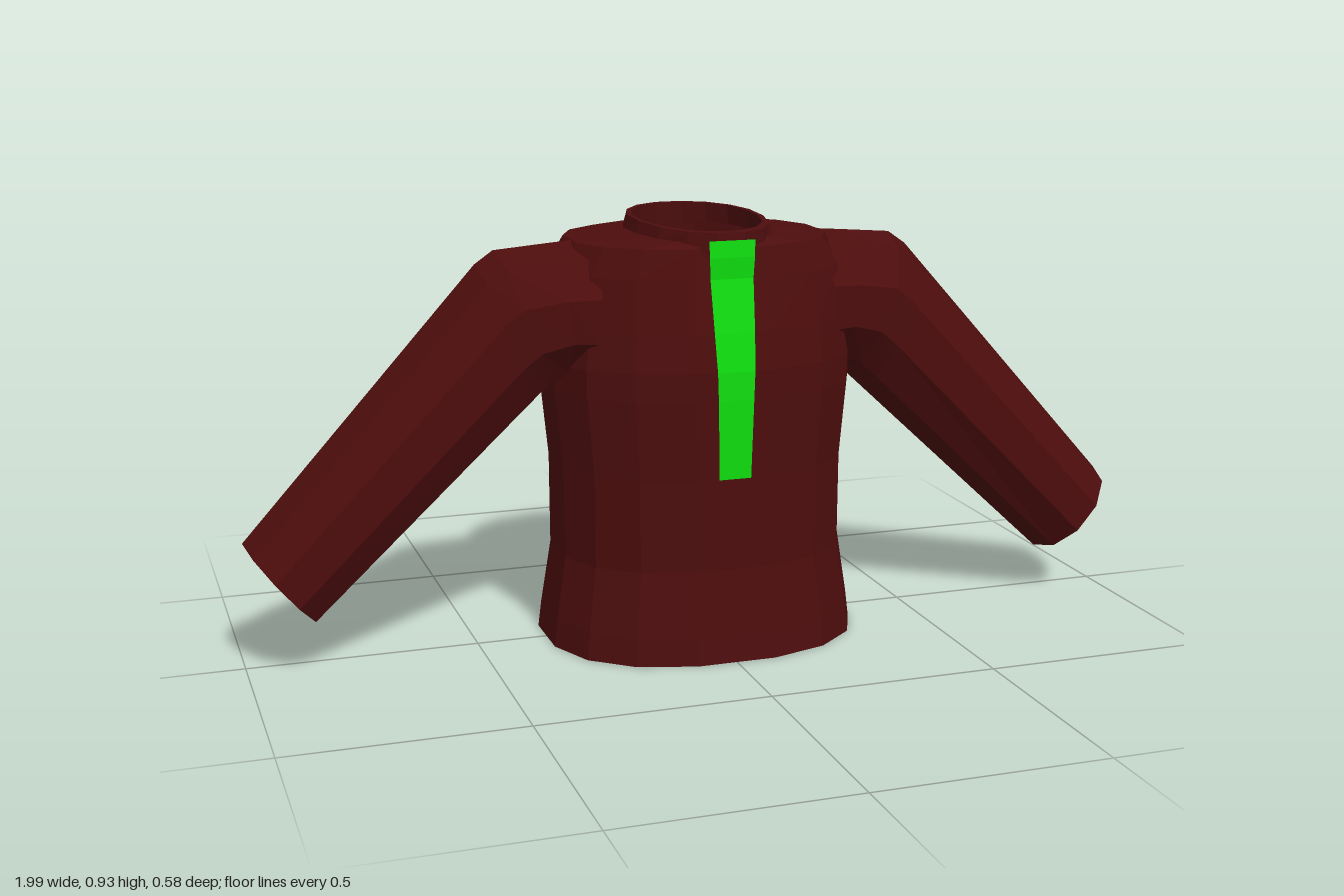
import * as THREE from 'three';

const knit = new THREE.MeshStandardMaterial({ color: 0x4d0d0d, side: THREE.DoubleSide });
knit.name = 'dark red knit';
const green = new THREE.MeshStandardMaterial({ color: 0x10de10, side: THREE.DoubleSide });
green.name = 'bright green';

// Faceted skin through rings of equal length; each ring is a list of [x, y, z]
function loft(rings, closed = true) {
  const n = rings[0].length, pos = [], idx = [];
  rings.forEach(r => r.forEach(p => pos.push(...p)));
  for (let i = 0; i < rings.length - 1; i++) {
    for (let j = 0; j < (closed ? n : n - 1); j++) {
      const k = (j + 1) % n, a = i * n + j, b = i * n + k;
      idx.push(a, b, b + n, a, b + n, a + n);
    }
  }
  const g = new THREE.BufferGeometry();
  g.setAttribute('position', new THREE.Float32BufferAttribute(pos, 3));
  g.setIndex(idx);
  const flat = g.toNonIndexed();
  flat.computeVertexNormals();
  return flat;
}

function part(name, geometry, material) {
  const m = new THREE.Mesh(geometry, material);
  m.name = name;
  return m;
}

// Horizontal rounded ring with flat front, back and sides; y may depend on z
function ring(y, hx, front, back, power = 0.85) {
  const n = 16, pts = [], flat = Math.cos(Math.PI / n) ** power;
  const soft = v => Math.sign(v) * Math.abs(v) ** power / flat;
  for (let i = 0; i < n; i++) {
    const a = (i + 0.5) / n * Math.PI * 2;
    const c = soft(Math.cos(a));
    const z = c * (c > 0 ? front : back);
    pts.push([soft(Math.sin(a)) * hx, typeof y === 'function' ? y(z) : y, z]);
  }
  return pts;
}

// Ten-sided sleeve ring between a top and a bottom point
function sleeveRing([tx, ty, bx, by, depth]) {
  const pts = [];
  for (let i = 0; i < 10; i++) {
    const a = i / 10 * Math.PI * 2, t = (1 - Math.cos(a)) / 2;
    pts.push([tx + (bx - tx) * t, ty + (by - ty) * t, 0.015 + Math.sin(a) * depth / 0.951]);
  }
  return pts;
}

export function createModel() {
  const model = new THREE.Group();
  model.name = 'sweater';

  // Body: hem, waist, chest, shoulder edge, neckline
  const body = [
    [0, 0.345, 0.29, 0.29], [0.06, 0.338, 0.284, 0.28], [0.2, 0.317, 0.265, 0.244],
    [0.4, 0.318, 0.269, 0.237], [0.57, 0.335, 0.274, 0.24], [0.63, 0.335, 0.274, 0.241],
    [0.71, 0.325, 0.262, 0.242], [0.82, 0.315, 0.238, 0.23], [0.882, 0.28, 0.225, 0.222],
    [0.895, 0.145, 0.215, 0.188],
  ];
  model.add(part('body', loft(body.map(r => ring(...r))), knit));

  // Sleeves: top x, top y, bottom x, bottom y, half depth
  const sleeve = [
    [0.25, 0.884, 0.27, 0.58, 0.165], [0.34, 0.877, 0.3, 0.585, 0.148],
    [0.45, 0.868, 0.345, 0.562, 0.138], [0.49, 0.84, 0.385, 0.525, 0.13],
    [0.995, 0.28, 0.845, 0.1, 0.115],
  ].map(sleeveRing);
  for (const side of [1, -1]) {
    const rings = sleeve.map(r => {
      const pts = r.map(([x, y, z]) => [x * side, y, z]);
      return side > 0 ? pts.reverse() : pts;
    });
    // Rings run outward, so one side is wound the other way round
    model.add(part(side > 0 ? 'leftSleeve' : 'rightSleeve', loft(rings.map(r => r.slice().reverse())), knit));
  }

  // Collar band: outside up, over the rim, down the inside
  const rim = z => 0.922 - 0.03 * z;
  const base = z => (z > 0.19 ? 0.865 : 0.888);
  model.add(part('collar', loft([
    ring(base, 0.15, 0.245, 0.198, 0.95), ring(rim, 0.14, 0.24, 0.187, 0.95),
    ring(rim, 0.13, 0.213, 0.176, 0.95), ring(z => base(z) - 0.005, 0.133, 0.205, 0.178, 0.95),
  ]), knit));

  // Front placket: y, z, half width
  const strip = rows => loft(rows.map(([y, z, w]) => [[-w, y, z], [w, y, z]]), false);
  model.add(part('placket', strip([
    [0.4, 0.273, 0.035], [0.57, 0.278, 0.039], [0.63, 0.278, 0.041],
    [0.71, 0.266, 0.044], [0.82, 0.246, 0.047], [0.865, 0.249, 0.049], [0.9, 0.247, 0.05],
  ]), green));
  // Facing of the placket inside the neck
  model.add(part('placketFacing', strip([[0.905, 0.206, 0.045], [0.84, 0.201, 0.045]]), green));

  return model;
}
